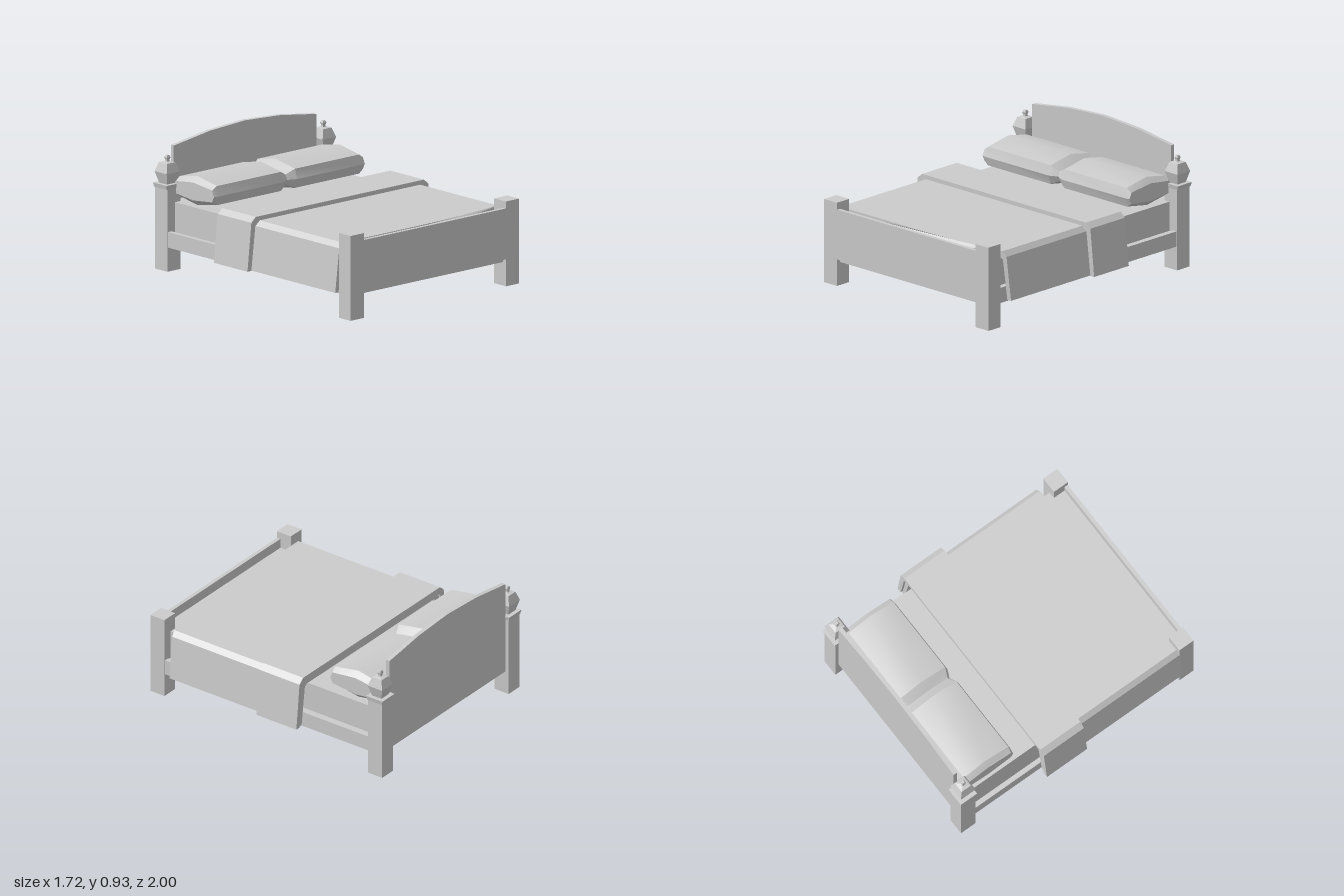
import * as THREE from 'three';
import { toCreasedNormals } from 'three/addons/utils/BufferGeometryUtils.js';

const material = new THREE.MeshStandardMaterial({ color: 0xcccccc, side: THREE.DoubleSide });

function addMesh(parent, name, geometry, x = 0, y = 0, z = 0) {
  const mesh = new THREE.Mesh(geometry, material);
  mesh.name = name;
  mesh.position.set(x, y, z);
  parent.add(mesh);
  return mesh;
}

// Box given by its extents on each axis
function addBox(parent, name, [x0, x1], [y0, y1], [z0, z1]) {
  return addMesh(parent, name, new THREE.BoxGeometry(x1 - x0, y1 - y0, z1 - z0),
    (x0 + x1) / 2, (y0 + y1) / 2, (z0 + z1) / 2);
}

// Cloth that lies over the bed and hangs down both sides; the half profiles run from the middle outwards
function drape(outer, inner, z0, z1) {
  const mirror = (half) => [...half.slice(1).reverse().map(([x, y]) => [-x, y]), ...half];
  const outline = [...mirror(outer), ...mirror(inner).reverse()];
  const shape = new THREE.Shape(outline.map(([x, y]) => new THREE.Vector2(x, y)));
  return new THREE.ExtrudeGeometry(shape, { depth: z1 - z0, bevelEnabled: false }).translate(0, 0, z0);
}

// Long pillow lofted along x, pinched in the middle and narrowed at the ends
function pillowGeometry() {
  const profile = [[0.22, 0], [0.2, 0.07], [0, 0.105], [-0.18, 0.07], [-0.22, 0], [-0.18, -0.07], [0, -0.1], [0.2, -0.065]];
  const sections = [[-0.7, 0.62, 0.97], [-0.66, 1, 1], [-0.065, 1, 1], [0, 0.5, 0.87], [0.065, 1, 1], [0.66, 1, 1], [0.7, 0.62, 0.97]];
  const positions = [], index = [], n = profile.length;
  for (const [x, sy, sz] of sections)
    for (const [z, y] of profile) positions.push(x, 0.585 + y * sy, -0.695 + z * sz);
  for (let s = 0; s < sections.length - 1; s++)
    for (let i = 0; i < n; i++) {
      const a = s * n + i, b = s * n + (i + 1) % n;
      index.push(a, a + n, b, b, a + n, b + n);
    }
  const last = (sections.length - 1) * n;
  for (let i = 1; i < n - 1; i++) {
    index.push(0, i, i + 1);
    index.push(last, last + i + 1, last + i);
  }
  const geometry = new THREE.BufferGeometry();
  geometry.setAttribute('position', new THREE.Float32BufferAttribute(positions, 3));
  geometry.setIndex(index);
  return toCreasedNormals(geometry, 0.45);
}

export function createModel() {
  const bed = new THREE.Group();
  bed.name = 'bed';

  // Square turned finial: vase and small knob
  const finialProfile = [[0, 0.6], [0.04, 0.61], [0.062, 0.69], [0.04, 0.755], [0.012, 0.762],
    [0.011, 0.775], [0.016, 0.79], [0.01, 0.805], [0, 0.805]];
  const finial = toCreasedNormals(new THREE.LatheGeometry(
    finialProfile.map(([r, y]) => new THREE.Vector2(r * Math.SQRT2, y)), 4, Math.PI / 4), 0.3);

  // Flared cap under the finial
  const cap = new THREE.CylinderGeometry(0.07 * Math.SQRT2, 0.064 * Math.SQRT2, 0.03, 4, 1, false, Math.PI / 4);
  cap.computeVertexNormals();
  const capGeometry = toCreasedNormals(cap, 0.3);

  // Posts and side rails
  for (const [side, s] of [['left', 1], ['right', -1]]) {
    const span = (a, b) => [Math.min(a * s, b * s), Math.max(a * s, b * s)];
    addBox(bed, side + 'FootPost', span(0.66, 0.782), [0, 0.6], [0.88, 1]);
    addBox(bed, side + 'HeadPost', span(0.66, 0.782), [0, 0.585], [-0.99, -0.867]);
    addMesh(bed, side + 'PostCap', capGeometry, 0.724 * s, 0.595, -0.93);
    addMesh(bed, side + 'Finial', finial, 0.724 * s, 0, -0.93);
    addBox(bed, side + 'Rail', span(0.74, 0.775), [0.17, 0.28], [-0.87, 0.88]);
  }

  // Arched headboard
  const arch = [[-0.662, 0.17], [0.662, 0.17], [0.662, 0.86], [0.33, 0.908], [0, 0.927], [-0.33, 0.908], [-0.662, 0.86]];
  const headShape = new THREE.Shape(arch.map(([x, y]) => new THREE.Vector2(x, y)));
  addMesh(bed, 'headboard', new THREE.ExtrudeGeometry(headShape, { depth: 0.03, bevelEnabled: false }), 0, 0, -0.963);

  // Footboard, base and mattress
  addBox(bed, 'footboard', [-0.662, 0.662], [0.19, 0.55], [0.97, 0.998]);
  addBox(bed, 'base', [-0.71, 0.742], [0.167, 0.27], [-0.935, 0.972]);
  addBox(bed, 'mattress', [-0.71, 0.71], [0.27, 0.48], [-0.93, 0.97]);

  // Blanket, its foot edge pulled back towards the left
  const blanket = drape(
    [[0, 0.525], [0.16, 0.525], [0.33, 0.525], [0.745, 0.525], [0.778, 0.49], [0.815, 0.18]],
    [[0, 0.482], [0.16, 0.482], [0.33, 0.482], [0.725, 0.482], [0.748, 0.465], [0.785, 0.18]], -0.3, 0.88);
  const p = blanket.attributes.position;
  for (let i = 0; i < p.count; i++) {
    const x = Math.max(p.getX(i), 0);
    if (p.getZ(i) > 0.5) p.setZ(i, 0.88 - 0.105 * x * x);
  }
  blanket.computeVertexNormals();
  addMesh(bed, 'blanket', blanket);

  // Folded band across the blanket
  addMesh(bed, 'blanketFold', drape(
    [[0, 0.555], [0.78, 0.555], [0.822, 0.52], [0.858, 0.18]],
    [[0, 0.515], [0.755, 0.515], [0.785, 0.49], [0.822, 0.18]], -0.31, 0.033));

  addMesh(bed, 'pillow', pillowGeometry());
  return bed;
}
